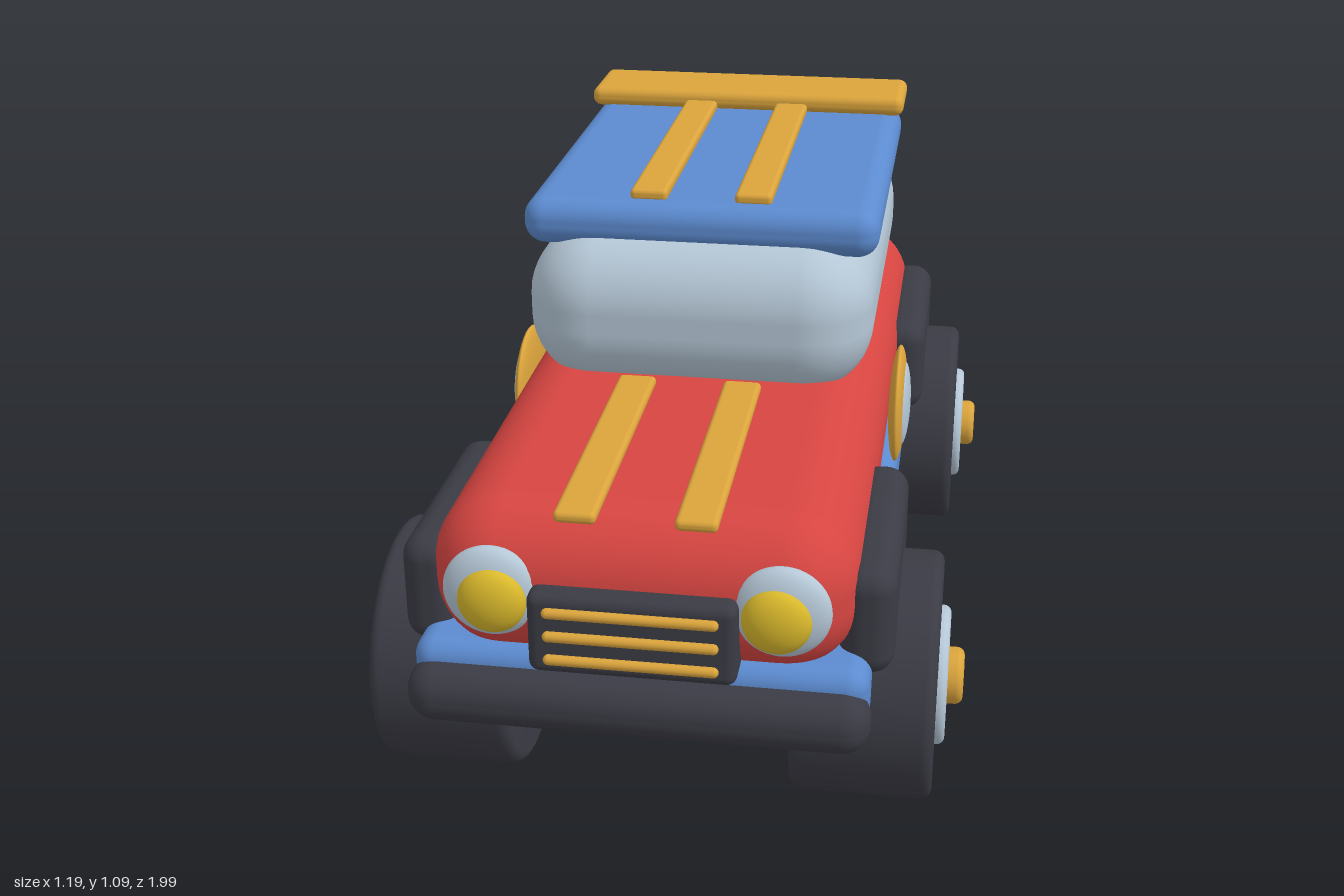
import * as THREE from 'three';
import { RoundedBoxGeometry } from 'three/addons/geometries/RoundedBoxGeometry.js';

const mat = (name, color) => {
  const m = new THREE.MeshStandardMaterial({ color });
  m.name = name;
  return m;
};

export function createModel() {
  const red = mat('red paint', 0xd64541);
  const blue = mat('blue paint', 0x5c8bd0);
  const glass = mat('pale grey', 0xb5c7d6);
  const dark = mat('dark rubber', 0x3b3b45);
  const gold = mat('gold trim', 0xdba43c);
  const lamp = mat('yellow lamp', 0xdab92c);
  const orange = mat('orange lamp', 0xdb693c);

  const car = new THREE.Group();
  car.name = 'toyCar';

  const add = (name, geo, material, x, y, z, parent = car) => {
    const mesh = new THREE.Mesh(geo, material);
    mesh.name = name;
    mesh.position.set(x, y, z);
    parent.add(mesh);
    return mesh;
  };

  // Rounded box given by its extents on each axis
  const box = (name, material, [x0, x1], [y0, y1], [z0, z1], r) =>
    add(name, new RoundedBoxGeometry(x1 - x0, y1 - y0, z1 - z0, 6, r), material,
      (x0 + x1) / 2, (y0 + y1) / 2, (z0 + z1) / 2);

  // Flattened sphere for lamps and side badges
  const dome = (name, material, x, y, z, rx, ry, rz) =>
    add(name, new THREE.SphereGeometry(1, 40, 24).scale(rx, ry, rz), material, x, y, z);

  // Disc with rounded rims, its axis along x
  const disc = (radius, width, bevel) => {
    const h = width / 2, pts = [new THREE.Vector2(0, -h)];
    for (const s of [-1, 1]) {
      for (let i = 0; i <= 5; i++) {
        const a = (s < 0 ? i - 5 : i) / 5 * Math.PI / 2;
        pts.push(new THREE.Vector2(
          radius - bevel + bevel * Math.cos(a), s * (h - bevel) + bevel * Math.sin(a)));
      }
    }
    pts.push(new THREE.Vector2(0, h));
    return new THREE.LatheGeometry(pts, 48).rotateZ(-Math.PI / 2);
  };

  // Chassis, body, cabin and roof
  box('chassis', blue, [-0.425, 0.425], [0.28, 0.425], [-0.93, 0.93], 0.04);
  box('body', red, [-0.4, 0.4], [0.38, 0.692], [-0.935, 0.935], 0.14);
  box('cabin', glass, [-0.367, 0.367], [0.64, 0.982], [-0.755, 0.272], 0.15);
  box('roof', blue, [-0.374, 0.374], [0.945, 1.046], [-0.73, 0.183], 0.045);
  box('roofWing', gold, [-0.381, 0.381], [1.042, 1.088], [-0.803, -0.597], 0.02);

  // Bumpers and exhaust
  box('frontBumper', dark, [-0.432, 0.432], [0.272, 0.39], [0.865, 0.983], 0.055);
  box('rearBumper', dark, [-0.432, 0.432], [0.272, 0.39], [-0.978, -0.86], 0.055);
  add('exhaust', new THREE.CylinderGeometry(0.046, 0.046, 0.16, 28).rotateX(Math.PI / 2),
    dark, 0.24, 0.345, -0.92);

  // Grille with three bars
  box('grille', dark, [-0.191, 0.191], [0.41, 0.573], [0.89, 0.975], 0.02);
  for (const y of [0.541, 0.493, 0.445]) {
    add('grilleBar', new THREE.CapsuleGeometry(0.01, 0.3, 6, 14).rotateZ(Math.PI / 2),
      gold, 0, y, 0.979);
  }

  for (const s of [-1, 1]) {
    const side = s > 0 ? 'left' : 'right';

    // Stripes along hood and roof
    box(side + 'HoodStripe', gold, [s * 0.11 - 0.039, s * 0.11 + 0.039], [0.688, 0.711], [0.28, 0.915], 0.01);
    box(side + 'RoofStripe', gold, [s * 0.11 - 0.039, s * 0.11 + 0.039], [1.04, 1.066], [-0.7, 0.135], 0.01);

    // Lamps
    dome(side + 'HeadlightRim', glass, s * 0.266, 0.546, 0.92, 0.09, 0.09, 0.038);
    dome(side + 'Headlight', lamp, s * 0.259, 0.54, 0.945, 0.064, 0.064, 0.035);
    dome(side + 'TailLight', orange, s * 0.288, 0.56, -0.913, 0.07, 0.062, 0.033);

    // Round side windows
    dome(side + 'PortholeRing', gold, s * 0.42, 0.542, -0.033, 0.02, 0.13, 0.13);
    dome(side + 'PortholeGlass', glass, s * 0.43, 0.542, -0.033, 0.018, 0.095, 0.095);

    // Fenders and wheels
    for (const e of [-1, 1]) {
      const z = e * 0.605, place = side + (e > 0 ? 'Front' : 'Rear');
      box(place + 'Fender', dark, [s * 0.413 - 0.052, s * 0.413 + 0.052], [0.37, 0.59],
        [z - 0.244, z + 0.244], 0.045);
      const wheel = new THREE.Group();
      wheel.name = place + 'Wheel';
      wheel.position.set(0, 0.244, z);
      car.add(wheel);
      add('tyre', disc(0.244, 0.275, 0.022), dark, s * 0.4085, 0, 0, wheel);
      add('hubcap', disc(0.137, 0.06, 0.015), glass, s * 0.535, 0, 0, wheel);
      add('hub', disc(0.056, 0.08, 0.015), gold, s * 0.556, 0, 0, wheel);
    }
  }
  return car;
}
